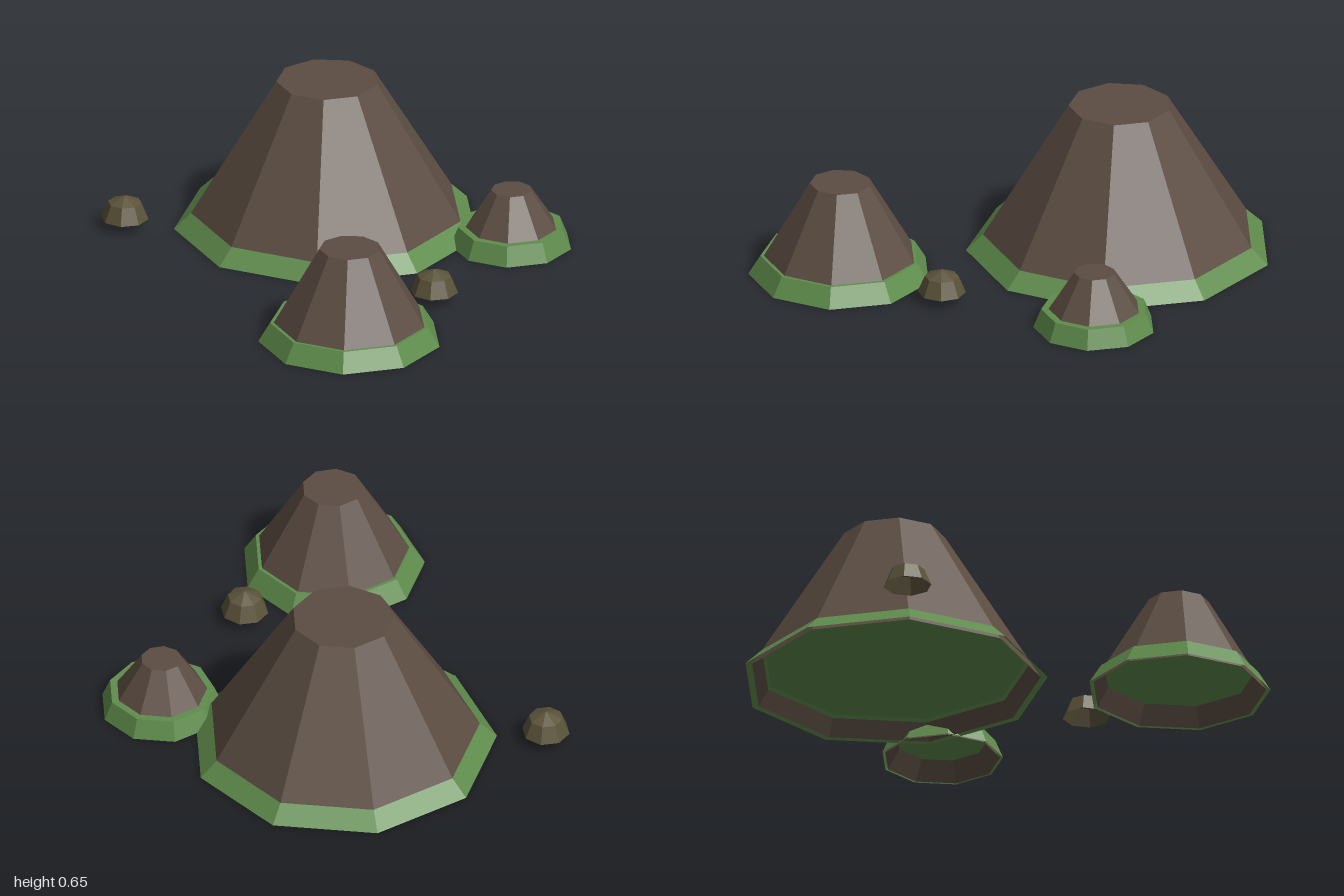
import * as THREE from 'three';

const flat = (name, color) => new THREE.MeshStandardMaterial({
  name, color, flatShading: true, side: THREE.DoubleSide,
});

// Open-bottomed faceted shell from base radius to a flat top, with a corner at +x
function frustum(name, sides, bottom, top, height, material) {
  const profile = [[bottom, 0], [top, height], [0, height]]
    .map(([r, y]) => new THREE.Vector2(r, y));
  const mesh = new THREE.Mesh(
    new THREE.LatheGeometry(profile, sides, Math.PI / 2), material);
  mesh.name = name;
  return mesh;
}

export function createModel() {
  const earth = flat('earthBrown', 0x5c4d42);
  const grass = flat('grassGreen', 0x5f8c4c);
  const stone = flat('stoneOlive', 0x5a5239);

  const model = new THREE.Group();
  model.name = 'hills';

  // Flat-topped hills, each with a grass skirt: x, z, skirt radius, height
  const hills = [
    ['largeHill', -0.40, -0.12, 0.64, 0.65],
    ['mediumHill', 0.616, 0.49, 0.383, 0.407],
    ['smallHill', 0.212, -0.62, 0.255, 0.244],
  ];
  for (const [name, x, z, radius, height] of hills) {
    const hill = new THREE.Group();
    hill.name = name;
    hill.position.set(x, 0, z);
    const foot = radius * 0.955;
    hill.add(
      frustum('slope', 9, foot, foot * 0.35, height, earth),
      frustum('grassSkirt', 9, radius, radius * 0.87, 0.081, grass),
    );
    model.add(hill);
  }

  // Small half-dome boulders
  const dome = new THREE.SphereGeometry(0.1, 8, 2, 0, Math.PI * 2, 0, Math.PI / 2);
  for (const [name, x, z] of [['frontBoulder', -0.85, 0.592], ['sideBoulder', 0.512, -0.013]]) {
    const boulder = new THREE.Mesh(dome, stone);
    boulder.name = name;
    boulder.position.set(x, 0.045, z);
    model.add(boulder);
  }

  return model;
}
